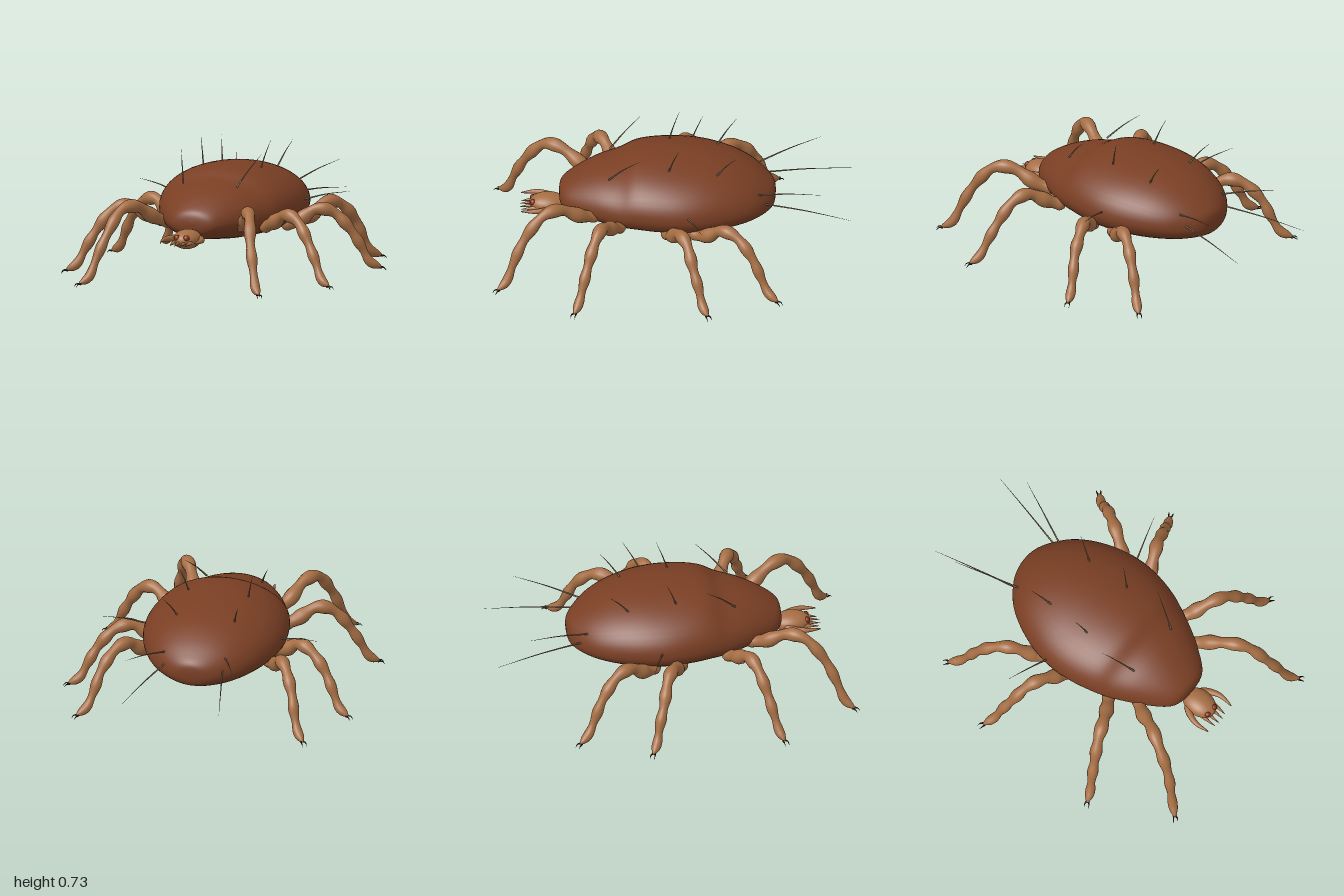
import * as THREE from 'three';
import { mergeVertices } from 'three/addons/utils/BufferGeometryUtils.js';

const paint = (name, color) => {
  const m = new THREE.MeshStandardMaterial({ color });
  m.name = name;
  return m;
};

const vec = (p, side = 1) => new THREE.Vector3(p[0] * side, p[1], p[2]);

function add(parent, name, geometry, material) {
  const mesh = new THREE.Mesh(geometry, material);
  mesh.name = name;
  parent.add(mesh);
  return mesh;
}

// Tube along points whose radius follows radiusAt(t)
function limb(points, side, radiusAt, segments, sides) {
  const curve = new THREE.CatmullRomCurve3(points.map(p => vec(p, side)));
  const geo = new THREE.TubeGeometry(curve, segments, 1, sides);
  const pos = geo.attributes.position, v = new THREE.Vector3();
  for (let i = 0; i <= segments; i++) {
    const t = i / segments, c = curve.getPointAt(t), r = radiusAt(t);
    for (let j = 0; j <= sides; j++) {
      const k = i * (sides + 1) + j;
      v.fromBufferAttribute(pos, k).sub(c).multiplyScalar(r).add(c);
      pos.setXYZ(k, v.x, v.y, v.z);
    }
  }
  return smooth(geo);
}

function smooth(geo) {
  geo.deleteAttribute('uv');
  geo.deleteAttribute('normal');
  const merged = mergeVertices(geo, 1e-5);
  merged.computeVertexNormals();
  return merged;
}

// Body sections from front to back: z, half width, top, bottom
const SECTIONS = [
  [0.63, 0, 0.35, 0.35], [0.62, 0.09, 0.40, 0.295], [0.585, 0.15, 0.435, 0.27],
  [0.5, 0.215, 0.485, 0.245], [0.4, 0.275, 0.525, 0.23], [0.29, 0.328, 0.553, 0.215],
  [0.2, 0.362, 0.595, 0.208], [0.08, 0.39, 0.608, 0.202], [-0.06, 0.40, 0.605, 0.2],
  [-0.2, 0.378, 0.59, 0.205], [-0.34, 0.325, 0.555, 0.22], [-0.45, 0.255, 0.505, 0.24],
  [-0.53, 0.165, 0.45, 0.265], [-0.57, 0.085, 0.41, 0.295], [-0.58, 0, 0.36, 0.36]
];

function bodyGeometry() {
  const spline = (a, b) => new THREE.CatmullRomCurve3(
    SECTIONS.map(s => new THREE.Vector3(s[a], s[b], 0)), false, 'catmullrom', 0.5);
  const plan = spline(0, 1), height = spline(2, 3);
  const geo = new THREE.SphereGeometry(1, 48, 56).rotateX(Math.PI / 2);
  const pos = geo.attributes.position;
  for (let i = 0; i < pos.count; i++) {
    const x = pos.getX(i), y = pos.getY(i), len = Math.hypot(x, y) || 1;
    const t = Math.acos(THREE.MathUtils.clamp(pos.getZ(i), -1, 1)) / Math.PI;
    const p = plan.getPoint(t), h = height.getPoint(t);
    const mid = h.y + (h.x - h.y) * 0.43;
    const rise = y > 0 ? h.x - mid : mid - h.y;
    pos.setXYZ(i, x / len * p.y, mid + y / len * rise, p.x);
  }
  return smooth(geo);
}

// Left-side leg paths from hip to foot
const LEGS = {
  frontLeg: [[0.2, 0.31, 0.40], [0.27, 0.35, 0.50], [0.33, 0.425, 0.62], [0.38, 0.42, 0.71],
    [0.43, 0.29, 0.82], [0.47, 0.16, 0.88], [0.5, 0.06, 0.92], [0.54, 0.026, 0.97]],
  secondLeg: [[0.28, 0.29, 0.27], [0.37, 0.33, 0.33], [0.47, 0.39, 0.385], [0.55, 0.365, 0.42],
    [0.63, 0.26, 0.46], [0.69, 0.15, 0.49], [0.735, 0.06, 0.515], [0.79, 0.026, 0.54]],
  thirdLeg: [[0.3, 0.27, 0.04], [0.38, 0.29, 0.0], [0.48, 0.36, -0.045], [0.56, 0.345, -0.085],
    [0.65, 0.25, -0.12], [0.71, 0.14, -0.155], [0.75, 0.06, -0.175], [0.81, 0.026, -0.205]],
  hindLeg: [[0.31, 0.27, -0.1], [0.38, 0.29, -0.19], [0.44, 0.36, -0.28], [0.49, 0.35, -0.36],
    [0.55, 0.25, -0.45], [0.58, 0.14, -0.5], [0.61, 0.06, -0.54], [0.655, 0.026, -0.595]]
};

// Knobbly, tapering legs with rounded ends
const legRadius = t => {
  const taper = 0.041 - 0.019 * t;
  const knobs = 1 + 0.15 * Math.cos(t * Math.PI * 11);
  return taper * knobs * Math.sqrt(Math.max(0, Math.min(1, t * 20, (1 - t) * 20)));
};

// Left-side bristles: root, tip
const BRISTLES = [
  [[0.16, 0.52, 0.35], [0.24, 0.685, 0.18]],
  [[0.17, 0.57, 0.02], [0.21, 0.735, -0.04]],
  [[0.165, 0.55, -0.25], [0.215, 0.69, -0.36]],
  [[0.175, 0.43, -0.48], [0.31, 0.515, -0.83]],
  [[0.165, 0.37, -0.50], [0.28, 0.33, -1.0]],
  [[0.38, 0.40, -0.09], [0.63, 0.45, -0.17]]
];

export function createModel() {
  const bodyMat = paint('russet shell', 0x7a3f24);
  const legMat = paint('tan limb', 0xa66e44);
  const clawMat = paint('dark claw', 0x2b1a10);
  const bristleMat = paint('bristle', 0x85745a);
  const eyeMat = paint('red eye', 0x8c3018);

  const model = new THREE.Group();
  model.name = 'mite';
  add(model, 'body', bodyGeometry(), bodyMat);

  // Head
  const head = new THREE.Group();
  head.name = 'head';
  model.add(head);
  const skull = add(head, 'headCapsule', new THREE.SphereGeometry(1, 28, 20), legMat);
  skull.scale.set(0.076, 0.055, 0.105);
  skull.position.set(0, 0.272, 0.69);

  for (const side of [1, -1]) {
    const label = side > 0 ? 'left' : 'right';

    // Feelers beside the mouth, and the two fangs of this side
    add(head, label + 'Palp', limb(
      [[0.05, 0.27, 0.64], [0.085, 0.272, 0.69], [0.106, 0.275, 0.755], [0.1, 0.272, 0.84]], side,
      t => 0.02 * Math.sqrt(Math.min(1, t * 12)) * (1 - 0.85 * t * t), 20, 10), legMat);
    for (const [x, tip] of [[0.016, 0.85], [0.045, 0.84]]) {
      add(head, label + 'Fang', limb(
        [[x, 0.262, 0.74], [x * 1.05, 0.26, 0.79], [x, 0.252, tip]], side,
        t => 0.017 * (1 - 0.95 * t), 10, 8), legMat);
    }
    const eye = add(head, label + 'Eye', new THREE.SphereGeometry(0.018, 16, 12), eyeMat);
    eye.position.set(0.027 * side, 0.288, 0.773);

    // Legs, each ending in a pair of claws
    for (const [name, path] of Object.entries(LEGS)) {
      const leg = new THREE.Group();
      leg.name = label + name[0].toUpperCase() + name.slice(1);
      model.add(leg);
      add(leg, 'limb', limb(path, side, legRadius, 72, 14), legMat);
      const foot = vec(path[7], side);
      const out = foot.clone().sub(vec(path[6], side)).setY(0).normalize();
      const across = new THREE.Vector3(-out.z, 0, out.x);
      for (const s of [1, -1]) {
        const at = (o, a, y) => foot.clone().addScaledVector(out, o)
          .addScaledVector(across, a * s).setY(y).toArray();
        add(leg, 'claw', limb([at(-0.012, 0.006, 0.026), at(0.01, 0.012, 0.026), at(0.025, 0.012, 0.01)], 1,
          t => 0.006 * (1 - 0.95 * t), 8, 6), clawMat);
      }
    }

    // Gently bowed bristles
    for (const [root, tip] of BRISTLES) {
      const middle = root.map((v, i) => (v + tip[i]) / 2);
      middle[1] += 0.008;
      add(model, label + 'Bristle', limb([root, middle, tip], side,
        t => 0.0055 * (1 - 0.9 * t), 12, 6), bristleMat);
    }
  }
  return model;
}
